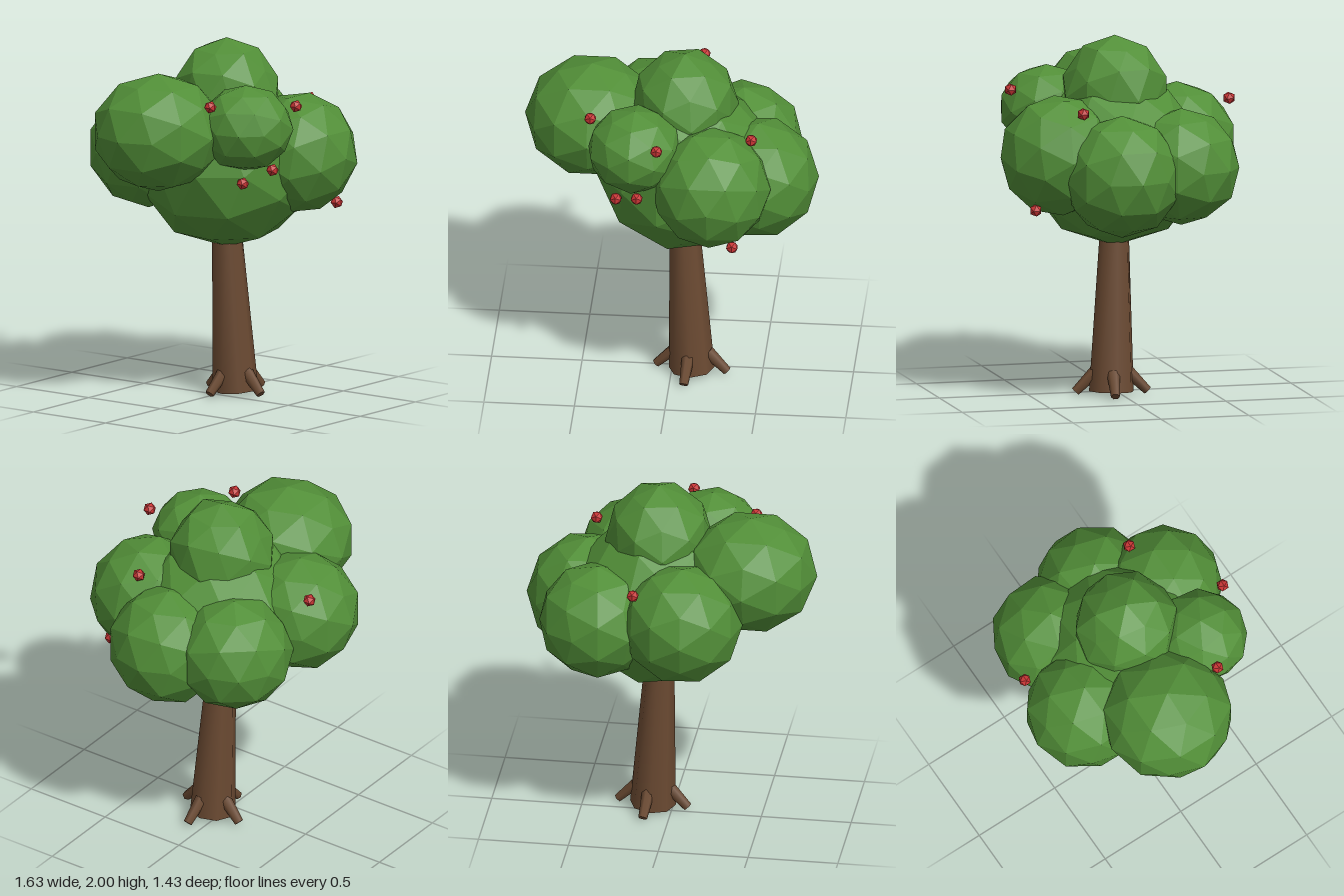
import * as THREE from 'three';

const bark = new THREE.MeshStandardMaterial({ color: 0x6b4a32 });
const leaf = new THREE.MeshStandardMaterial({ color: 0x528f38, flatShading: true });
const red = new THREE.MeshStandardMaterial({ color: 0xc83434, flatShading: true });

// Tapered cylinder running from point a to point b
function limb(name, a, b, ra, rb, sides) {
  const dir = b.clone().sub(a);
  const mesh = new THREE.Mesh(new THREE.CylinderGeometry(rb, ra, dir.length(), sides), bark);
  mesh.position.copy(a).addScaledVector(dir, 0.5);
  mesh.quaternion.setFromUnitVectors(new THREE.Vector3(0, 1, 0), dir.normalize());
  mesh.name = name;
  return mesh;
}

// Faceted ball whose twelve five-sided caps are flattened by the factor cap
function leafBall(cap, tilt, turn) {
  const geo = new THREE.IcosahedronGeometry(1, 1);
  const pos = geo.attributes.position;
  const v = new THREE.Vector3();
  for (let i = 0; i < pos.count; i++) {
    v.fromBufferAttribute(pos, i);
    const longest = Math.max(Math.abs(v.x), Math.abs(v.y), Math.abs(v.z));
    if (Math.abs(longest - 0.851) < 0.01) v.multiplyScalar(cap);
    pos.setXYZ(i, v.x, v.y, v.z);
  }
  return geo.rotateX(tilt).rotateY(turn);
}

export function createModel() {
  const tree = new THREE.Group();
  tree.name = 'tree';

  // Slightly leaning trunk
  const base = new THREE.Vector3(0.11, 0.02, 0.05);
  tree.add(limb('trunk', base, new THREE.Vector3(0.065, 1.0, 0.02), 0.127, 0.078, 8));

  // Four roots splayed around the foot
  for (let i = 0; i < 4; i++) {
    const a = i * Math.PI / 2 + 0.14;
    const at = (r, y) => new THREE.Vector3(base.x + Math.cos(a) * r, y, base.z + Math.sin(a) * r);
    tree.add(limb('root', at(0.09, 0.13), at(0.2, 0.02), 0.036, 0.025, 6));
  }

  // Leaf clumps: name, centre x y z, horizontal and vertical radius, cap, tilt, turn
  const clumps = [
    ['coreFoliage', 0.07, 1.305, 0.02, 0.5, 0.48, 0.97, 0, 0.3],
    ['topFoliage', 0.07, 1.67, 0.02, 0.3, 0.33, 0.92, 0, 0.2],
    ['rightFoliage', -0.45, 1.54, -0.055, 0.37, 0.33, 0.97, 0, 0],
    ['leftFoliage', 0.48, 1.275, 0.085, 0.335, 0.34, 0.97, 0, 0.1],
    ['frontLeftFoliage', 0.245, 1.37, 0.385, 0.33, 0.335, 1, 0.55, 0],
    ['frontRightFoliage', -0.18, 1.57, 0.345, 0.265, 0.24, 0.97, 0, 0.5],
    ['backRightFoliage', -0.115, 1.36, -0.38, 0.335, 0.335, 0.97, 0, 0.1],
    ['backLeftFoliage', 0.37, 1.3, -0.28, 0.33, 0.325, 0.97, 0, 0.7],
  ];
  for (const [name, x, y, z, r, ry, cap, tilt, turn] of clumps) {
    const mesh = new THREE.Mesh(leafBall(cap, tilt, turn), leaf);
    mesh.name = name;
    mesh.position.set(x, y, z);
    mesh.scale.set(r, ry, r);
    tree.add(mesh);
  }

  // Small red fruit around the crown
  const fruit = [
    [-0.43, 1.72, 0.29], [-0.04, 1.7, 0.585], [0.46, 1.63, 0.3], [0.125, 1.63, -0.615],
    [0.375, 1.09, 0.55], [0.345, 1.2, 0.575], [-0.28, 1.28, 0.4], [-0.155, 1.35, 0.51],
  ];
  for (const p of fruit) {
    const mesh = new THREE.Mesh(new THREE.IcosahedronGeometry(0.036, 0), red);
    mesh.name = 'fruit';
    mesh.position.set(...p);
    tree.add(mesh);
  }
  return tree;
}
